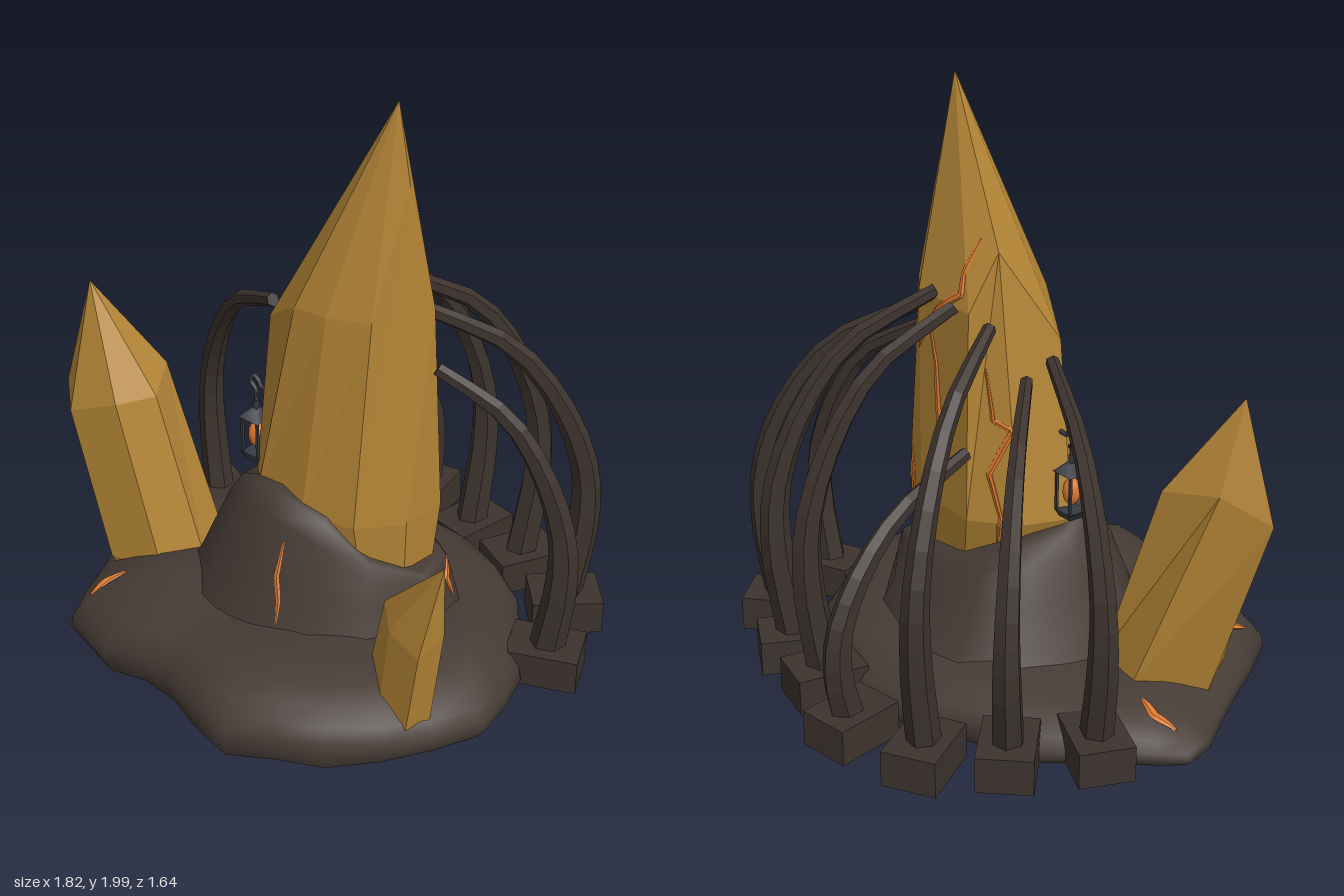
import * as THREE from 'three';

const V = (x, y, z) => new THREE.Vector3(x, y, z);
const mat = (name, color) => {
  const m = new THREE.MeshStandardMaterial({ color });
  m.name = name;
  return m;
};

// Skin through rings of points (bottom to top, counterclockwise from above), closed at both ends
function loft(rings, flat) {
  const n = rings[0].length, pts = rings.flat(), idx = [];
  rings.forEach((_, r) => {
    if (!r) return;
    for (let i = 0; i < n; i++) {
      const j = (i + 1) % n, a = (r - 1) * n + i, b = (r - 1) * n + j, c = r * n + j, d = r * n + i;
      idx.push(a, b, c, a, c, d);
    }
  });
  [0, rings.length - 1].forEach((r) => {
    const start = pts.length; // separate cap vertices keep the rim sharp
    const mid = rings[r].reduce((s, p) => s.add(p), V(0, 0, 0)).divideScalar(n);
    pts.push(...rings[r], mid);
    for (let i = 0; i < n; i++) {
      const a = start + i, b = start + (i + 1) % n;
      if (r) idx.push(start + n, a, b); else idx.push(start + n, b, a);
    }
  });
  let g = new THREE.BufferGeometry().setFromPoints(pts);
  g.setIndex(idx);
  if (flat) g = g.toNonIndexed();
  g.computeVertexNormals();
  return g;
}

// Six-sided bar of varying radius along a curve; `side` is a direction across the curve
function sweep(curve, steps, side, radius, sideScale) {
  const rings = [];
  for (let i = 0; i <= steps; i++) {
    const t = i / steps, p = curve.getPoint(t), r = radius(t);
    const nor = side.clone().cross(curve.getTangent(t)).normalize();
    rings.push([0, 1, 2, 3, 4, 5].map((k) => {
      const a = k * Math.PI / 3;
      return p.clone().addScaledVector(nor, r * Math.cos(a)).addScaledVector(side, r * sideScale * Math.sin(a));
    }));
  }
  return loft(rings, true);
}

// Faceted crystal: buried foot, waist ring, uneven shoulders and a tip
function crystal(waist, shoulder, tip, foot, footScale) {
  const w = waist.map((p) => V(...p)), s = shoulder.map((p) => V(...p));
  const f = w.map((p) => V(foot[0] + (p.x - foot[0]) * footScale, foot[1], foot[2] + (p.z - foot[2]) * footScale));
  return loft([f, w, s, s.map(() => V(...tip))], true);
}

export function createModel() {
  const root = new THREE.Group();
  const rock = mat('dark rock', 0x463b35);
  const amber = mat('amber crystal', 0xb48536);
  const bone = mat('dark ribs', 0x3d332e);
  const ember = mat('ember orange', 0xde7a30);
  const metal = mat('lantern metal', 0x383b43);
  const add = (name, geo, m, parent = root) => {
    const mesh = new THREE.Mesh(geo, m);
    mesh.name = name;
    parent.add(mesh);
    return mesh;
  };

  // Lumpy rock base with a groove running out through the front notch
  const outline = [[-.9, .05], [-.88, .15], [-.8, .28], [-.72, .42], [-.65, .56], [-.56, .71], [-.33, .77], [-.2, .73],
    [-.06, .74], [.1, .79], [.26, .82], [.4, .73], [.54, .66], [.66, .52], [.75, .37], [.82, .22], [.8, .08], [.76, -.06],
    [.66, -.2], [.53, -.37], [.4, -.45], [.2, -.53], [0, -.56], [-.2, -.51], [-.4, -.4], [-.6, -.32], [-.74, -.14], [-.85, -.02]];
  const baseTop = (x, z) => .235 + .05 * Math.min(x + .3, 0) / .3 + .05 * z + .018 * Math.sin(9 * x + 2) * Math.cos(8 * z)
    - .035 * Math.exp(-(((x + .1) / .09) ** 2)) * Math.max(z, 0) - .2 * Math.max(x - .6, 0);
  const baseRings = [[.97, 0], [1, .22], [.99, .44], [.955, .64], [.89, .83], [.8, .95], [.68, 1.02], [.5, 1.02], [.3, 1.02]].map(([s, h]) =>
    outline.map(([x, z]) => {
      const px = x * s, pz = .1 + (z - .1) * s;
      return V(px, .04 + (baseTop(px, pz) - .04) * h, pz);
    }));
  const base = add('rockBase', loft(baseRings), rock);

  // Mound around the main crystal: foot x, z, then rim x, z and rim height
  const moundCols = [[.05, .5, .02, .29, .68], [.27, .45, .2, .27, .62], [.42, .32, .33, .2, .48], [.51, .04, .43, .04, .4],
    [.48, -.12, .41, -.1, .4], [.28, -.33, .25, -.17, .42], [.05, -.38, .05, -.19, .45], [-.2, -.34, -.13, -.14, .52],
    [-.37, -.2, -.21, -.04, .56], [-.44, .05, -.24, .1, .58], [-.41, .3, -.19, .23, .63], [-.2, .48, -.1, .29, .67]];
  const moundRings = [[0, 0], [.3, .28], [.55, .56], [.8, .83], [1, .98], [1.25, 1]].map(([t, h]) =>
    moundCols.map(([x, z, tx, tz, y]) => V(x + (tx - x) * t, .17 + (y - .17) * h, z + (tz - z) * t)));
  const mound = add('rockMound', loft(moundRings), rock);

  // Crystals
  const mainCrystal = add('mainCrystal', crystal(
    [[-.21, .6, .14], [-.1, .6, .26], [.1, .6, .265], [.28, .6, .22], [.39, .6, .09], [.395, .6, -.08], [.25, .6, -.135], [-.01, .6, -.14], [-.15, .6, -.03]],
    [[-.13, 1.2, .15], [.05, 1.32, .235], [.17, 1.32, .225], [.3, 1.32, .165], [.345, 1.74, .05], [.38, 1.32, -.04], [.25, 1.33, -.13], [-.015, 1.31, -.13], [-.04, 1.5, -.03]],
    [.305, 2, .06], [.32, .025, .04], .55), amber);
  add('rightCrystal', crystal(
    [[-.73, .18, .3], [-.65, .18, .43], [-.45, .18, .38], [-.37, .2, .25], [-.42, .2, .1], [-.6, .2, .08]],
    [[-.895, .77, .36], [-.78, .73, .455], [-.6, .8, .41], [-.54, .8, .28], [-.62, .85, .15], [-.79, .87, .23]],
    [-.79, 1.17, .32], [-.6, .015, .27], .6), amber);
  add('leftCrystal', crystal(
    [[.45, .24, .33], [.56, .14, .43], [.68, .14, .44], [.725, .25, .36], [.63, .24, .24], [.51, .24, .24]],
    [[.525, .52, .36], [.6, .48, .43], [.73, .45, .45], [.765, .52, .37], [.69, .58, .28], [.63, .6, .31]],
    [.78, .78, .4], [.6, .02, .35], .75), amber);

  // Curved ribs on block feet: foot x, z, tip x, z and tip height
  const ribs = [[-.71, -.17, -.22, .04, 1.18], [-.58, -.41, -.17, -.02, 1.11], [-.42, -.61, -.15, -.15, 1.31], [-.14, -.69, -.05, -.17, .86],
    [.14, -.61, .05, -.14, 1.32], [.39, -.57, .17, -.12, 1.34], [.65, -.46, .27, -.1, 1.27], [.77, -.18, .41, -.02, 1.13]];
  ribs.forEach(([x, z, tx, tz, h]) => {
    const group = new THREE.Group();
    group.name = 'rib';
    root.add(group);
    const out = V(x - tx, 0, z - tz).normalize();
    const side = V(0, 1, 0).cross(out).normalize();
    const path = new THREE.CatmullRomCurve3([[0, .12], [-.09, .35], [-.07, .52], [.11, .71], [.43, .88], [1, 1]].map(([f, k]) =>
      V(x + (tx - x) * f, h * k, z + (tz - z) * f)));
    add('ribArc', sweep(path, 12, side, (t) => .06 - .036 * t, .9), bone, group);
    const block = add('ribFoot', new THREE.BoxGeometry(.18, .12, .24), bone, group);
    block.position.set(x, .11, z);
    block.rotation.y = Math.atan2(out.x, out.z);
  });

  // Glowing cracks tapering at both ends, laid onto the surfaces along a direction
  root.updateMatrixWorld(true);
  const ray = new THREE.Raycaster();
  function crack(points, dir, targets, r) {
    const d = V(...dir), hits = [];
    for (let i = 0; i < points.length - 1; i++) {
      for (let k = 0; k < 5; k++) {
        const p = V(...points[i]).lerp(V(...points[i + 1]), k / 5);
        ray.set(p.addScaledVector(d, -3), d);
        const hit = ray.intersectObjects(targets)[0];
        if (hit) hits.push(hit.point);
      }
    }
    const curve = new THREE.CatmullRomCurve3(hits);
    add('emberCrack', sweep(curve, hits.length * 2, d, (t) => r * (.35 + .65 * Math.sin(Math.PI * t)), .6), ember);
  }
  crack([[.09, .53, 0], [.095, .42, 0], [.12, .35, 0], [.135, .26, 0]], [0, 0, -1], [mound], .011);
  crack([[-.54, 0, .63], [-.53, 0, .56], [-.49, 0, .49]], [0, -1, 0], [base], .02);
  crack([[-.82, 0, .06], [-.75, 0, .035], [-.66, 0, .05]], [0, -1, 0], [base], .018);
  crack([[0, .39, -.1], [0, .33, -.07], [0, .24, -.09]], [-1, 0, 0], [mound, base], .012);
  [[[.03, 1.53], [.05, 1.42], [.04, 1.36], [.14, 1.29], [.2, 1.22], [.27, 1.1]],
    [[.2, 1.25], [.16, 1.1], [.15, .95], [.13, .79], [.22, .66], [.31, .52], [.3, .42]],
    [[-.03, 1.12], [-.06, .95], [-.11, .92], [-.06, .77], [-.1, .62], [-.07, .5]],
    [[.36, .74], [.33, .64], [.36, .54], [.34, .46]]].forEach((line) =>
    crack(line.map(([x, y]) => [x, y, 0]), [0, 0, 1], [mainCrystal], .014));

  // Hanging lantern
  const lantern = new THREE.Group();
  lantern.name = 'lantern';
  lantern.position.set(-.225, 0, .125);
  root.add(lantern);
  const part = (name, geo, m, x, y, z) => add(name, geo, m, lantern).position.set(x, y, z);
  const turned = (top, bottom, h) => new THREE.CylinderGeometry(top, bottom, h, 4).rotateY(Math.PI / 4);
  part('lanternFloor', turned(.055, .04, .025), metal, 0, .632, 0);
  part('lanternRoof', turned(.018, .062, .035), metal, 0, .795, 0);
  part('lanternCap', turned(.012, .012, .03), metal, 0, .825, 0);
  for (const x of [-.034, .034]) for (const z of [-.034, .034]) part('lanternPost', new THREE.BoxGeometry(.009, .14, .009), metal, x, .71, z);
  part('lanternFlame', new THREE.SphereGeometry(.03, 12, 8).scale(1, 1.6, 1), ember, 0, .71, 0);
  const hook = new THREE.CatmullRomCurve3([V(0, .83, 0), V(0, .88, 0), V(-.022, .905, 0), V(-.01, .93, 0), V(.012, .92, 0), V(.025, .9, 0), V(.06, .9, 0)]);
  add('lanternHook', new THREE.TubeGeometry(hook, 24, .008, 6), metal, lantern);
  part('hookCollar', new THREE.BoxGeometry(.03, .01, .01), metal, 0, .865, 0);

  return root;
}
